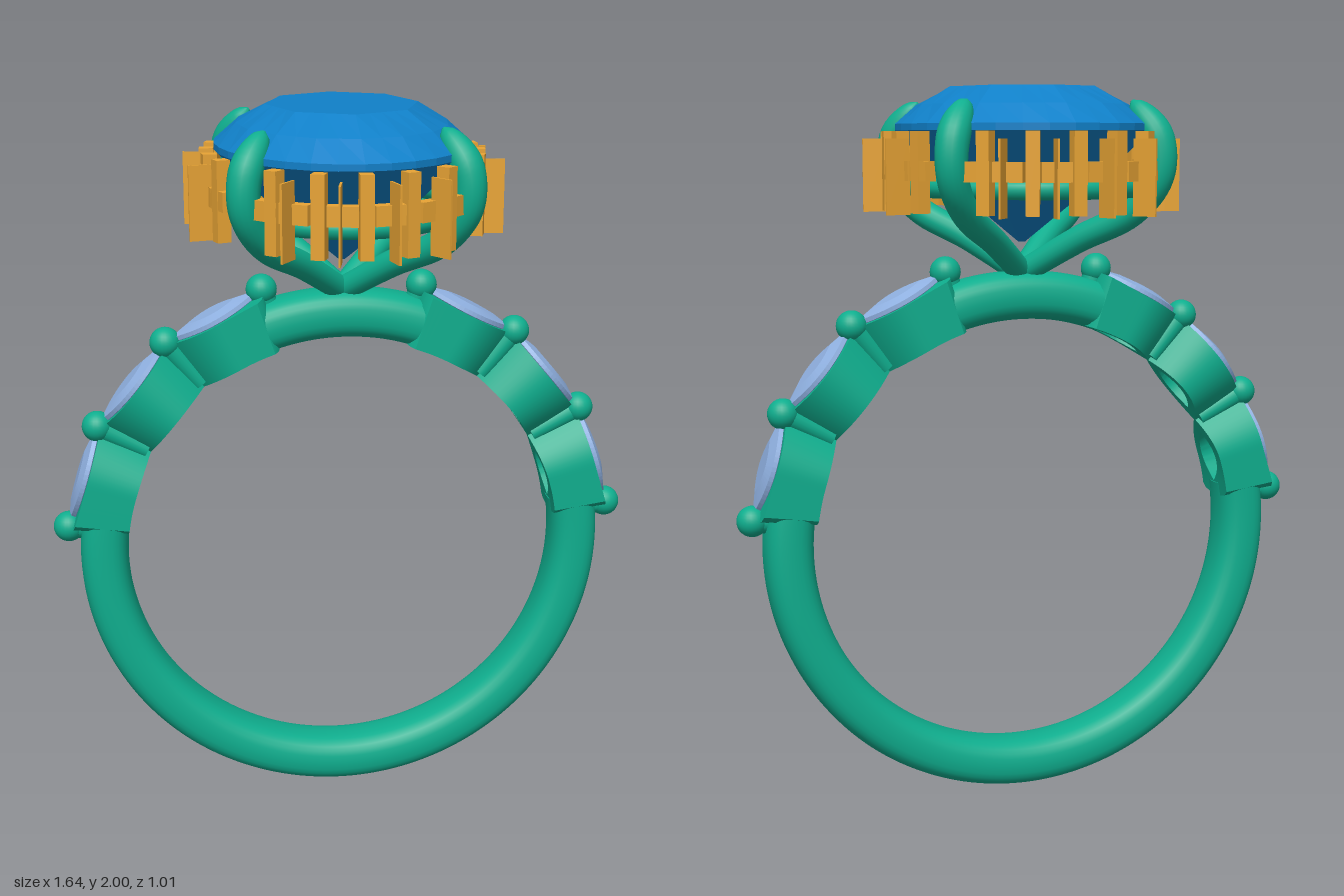
import * as THREE from 'three';
import { toCreasedNormals } from 'three/addons/utils/BufferGeometryUtils.js';

const mat = (color, flatShading = false) => new THREE.MeshStandardMaterial({ color, flatShading });
const METAL = mat(0x0fae8e), GOLD = mat(0xe8a435);
const BLUE = mat(0x1080c8, true), PALE = mat(0x8fb0e0, true);
const V = (x, y, z) => new THREE.Vector3(x, y, z);
const rad = THREE.MathUtils.degToRad;
const range = (n, f) => Array.from({ length: n }, (_, i) => f(i));

const CY = 0.748, R_IN = 0.613, R_OUT = 0.748, HALF_W = 0.08;
// point on the band: angle from the top, radius, depth
const polar = (a, r, z) => V(r * Math.sin(a), CY + r * Math.cos(a), z);

// Solid skinned over closed rings of points; capped, or joined end to end
function loft(rings, joined = false, crease = 0.6) {
  const all = [...rings];
  if (joined) all.push(rings[0]);
  else {
    const cap = (ring) => {
      const c = V(0, 0, 0);
      ring.forEach((p) => c.addScaledVector(p, 1 / ring.length));
      return ring.map(() => c);
    };
    all.unshift(cap(rings[0]));
    all.push(cap(rings[rings.length - 1]));
  }
  const tris = [];
  let volume = 0;
  const add = (a, b, c) => {
    if (a.distanceTo(b) < 1e-6 || b.distanceTo(c) < 1e-6 || a.distanceTo(c) < 1e-6) return;
    volume += a.dot(b.clone().cross(c));
    tris.push([a, b, c]);
  };
  for (let i = 0; i + 1 < all.length; i++) {
    const n = all[i].length;
    for (let j = 0; j < n; j++) {
      const k = (j + 1) % n;
      add(all[i][j], all[i][k], all[i + 1][k]);
      add(all[i][j], all[i + 1][k], all[i + 1][j]);
    }
  }
  const points = tris.flatMap(([a, b, c]) => (volume > 0 ? [a, b, c] : [a, c, b]));
  const g = new THREE.BufferGeometry().setFromPoints(points);
  g.computeVertexNormals();
  return toCreasedNormals(g, crease);
}

function mesh(name, geometry, material, parent) {
  const m = new THREE.Mesh(geometry, material);
  m.name = name;
  parent.add(m);
  return m;
}

// Arc of the band with a rounded cross-section
function bandArc(from, to, steps) {
  const mid = (R_IN + R_OUT) / 2, h = (R_OUT - R_IN) / 2;
  const soft = (v) => Math.sign(v) * Math.pow(Math.abs(v), 0.75);
  return loft(range(steps + 1, (i) => {
    const a = rad(from + ((to - from) * i) / steps);
    return range(28, (j) => {
      const t = (j / 28) * Math.PI * 2;
      return polar(a, mid + h * soft(Math.cos(t)), HALF_W * soft(Math.sin(t)));
    });
  }));
}

// Marquise outline: u along the length (-1..1), w across (-1..1)
const LENS = range(40, (j) => {
  const s = j < 20 ? 1 : -1;
  const u = s * (1 - (j % 20) / 10);
  return { u, w: s * (1 - u * u) };
});

// Open marquise cup; wideEnd keeps one end as wide as the plain band it joins
function bezel(center, wideEnd) {
  const half = rad(11.6);
  const ring = (scale, top, outer) => LENS.map(({ u, w }) => {
    const d = half * u * scale;
    const wide = outer && u * wideEnd > 0 ? Math.sign(w) * Math.max(Math.abs(w), Math.min(1, (1 - Math.abs(u)) * 8)) : w;
    const r = top ? 0.757 / Math.cos(d) : R_IN + 0.003;
    return polar(rad(center) + d, r, wide * HALF_W * (outer ? 1 : scale * 0.98));
  });
  return loft([ring(1, true, true), ring(1, false, true), ring(0.62, false, false), ring(0.85, true, false)], true);
}

function marquiseGem(center) {
  const a = rad(center);
  const ring = (scale, h) => LENS.map(({ u, w }) => {
    const along = u * 0.137 * scale, r = 0.757 + h;
    return V(r * Math.sin(a) + along * Math.cos(a), CY + r * Math.cos(a) - along * Math.sin(a), w * 0.071 * scale);
  });
  return loft([ring(0.55, 0.026), ring(0.98, 0.014), ring(1, 0.002), ring(0.85, -0.006), ring(0.1, -0.07)]);
}

// Three stones with shared prong beads, for one shoulder
function shoulder(name) {
  const g = new THREE.Group();
  g.name = name;
  [27.7, 50.1, 72.5].forEach((a, i) => {
    mesh('stoneCup', bezel(a, [-1, 0, 1][i]), METAL, g);
    mesh('marquiseStone', marquiseGem(a), PALE, g);
  });
  [16.6, 38.9, 61.3, 83.8].forEach((a) => {
    const bead = mesh('prongBead', new THREE.SphereGeometry(0.043, 24, 16), METAL, g);
    bead.position.copy(polar(rad(a), 0.782, 0));
    const stem = mesh('prongStem', new THREE.CylinderGeometry(0.034, 0.026, 0.15, 20), METAL, g);
    stem.position.copy(polar(rad(a), 0.703, 0));
    stem.rotation.z = -rad(a);
  });
  return g;
}

// Faceted oval centre stone
function ovalGem() {
  const ring = (scale, y, sides) => range(32, (j) => {
    const t = (j / 32) * Math.PI * 2, step = (Math.PI * 2) / sides;
    const k = scale * Math.cos(step / 2) / Math.cos((t % step) - step / 2);
    return V(0.345 * k * Math.sin(t), y, 0.42 * k * Math.cos(t));
  });
  return loft([ring(0.6, 2, 8), ring(0.83, 1.952, 16), ring(1, 1.9, 32), ring(1, 1.882, 32),
    ring(0.62, 1.75, 16), ring(0.03, 1.577, 8)]);
}

// Tapered claw curving out diagonally from the base and over the stone edge
function claw(sx, sz) {
  const path = new THREE.CatmullRomCurve3([[0, 1.49], [0.12, 1.585], [0.235, 1.665], [0.288, 1.76],
    [0.286, 1.86], [0.232, 1.96]].map(([d, y]) => V(d * sx, y, d * sz)));
  const side = V(-sz, 0, sx).normalize();
  return loft(range(41, (i) => {
    const t = i / 40, p = path.getPoint(t);
    const n = path.getTangent(t).cross(side).normalize();
    const r = t < 0.8 ? 0.034 + 0.014 * t : 0.0452 * Math.sqrt(Math.max(0.01, 1 - ((t - 0.8) / 0.2) ** 2));
    return range(18, (j) => {
      const a = (j / 18) * Math.PI * 2;
      return p.clone().addScaledVector(side, r * Math.cos(a)).addScaledVector(n, r * Math.sin(a));
    });
  }));
}

// Oval support ring under the stone
function galleryRing() {
  return loft(range(64, (i) => {
    const t = (i / 64) * Math.PI * 2;
    return range(14, (j) => {
      const a = (j / 14) * Math.PI * 2, c = 0.027 * Math.cos(a);
      return V((0.31 + c) * Math.sin(t), 1.73 + 0.027 * Math.sin(a), (0.375 + c) * Math.cos(t));
    });
  }), true);
}

// Halo: tall posts, short linking bars and thin radial fins on an oval
function halo() {
  const g = new THREE.Group();
  g.name = 'halo';
  const A = 0.365, B = 0.44;
  const piece = (name, t, w, y0, y1, depth, out) => {
    const nx = Math.sin(t) / A, nz = Math.cos(t) / B, l = Math.hypot(nx, nz);
    const m = mesh(name, new THREE.BoxGeometry(w, y1 - y0, depth), GOLD, g);
    m.position.set(A * Math.sin(t) + (nx / l) * out, (y0 + y1) / 2, B * Math.cos(t) + (nz / l) * out);
    m.rotation.y = Math.atan2(nx, nz);
  };
  const arc = (turn, size, posts, links, fins) => {
    const at = (p) => turn + Math.asin(p / size);
    posts.forEach((p) => piece('haloPost', at(p), 0.036, 1.665, 1.88, 0.038, 0));
    links.forEach((p) => piece('haloLink', at(p), 0.08, 1.75, 1.802, 0.034, 0));
    fins.forEach((p) => piece('haloFin', at(p), 0.006, 1.66, 1.86, 0.07, 0.035));
  };
  for (const flip of [0, Math.PI]) {
    arc(flip, A, [-0.22, -0.115, 0, 0.115, 0.22], [-0.235, -0.17, -0.058, 0.058, 0.17, 0.235], [-0.175, -0.062, 0.062, 0.175]);
    arc(flip + Math.PI / 2, B, [-0.163, -0.056, 0.056, 0.163], [-0.17, -0.11, 0, 0.11, 0.17], [-0.11, 0.11]);
  }
  return g;
}

export function createModel() {
  const ring = new THREE.Group();
  ring.name = 'ring';
  mesh('band', bandArc(80, 280, 120), METAL, ring);
  mesh('bridge', bandArc(-20, 20, 30), METAL, ring);
  const left = shoulder('leftShoulder'), right = shoulder('rightShoulder');
  right.rotation.y = Math.PI;
  ring.add(left, right);

  const head = new THREE.Group();
  head.name = 'head';
  ring.add(head);
  mesh('centreStone', ovalGem(), BLUE, head);
  mesh('galleryRing', galleryRing(), METAL, head);
  for (const sx of [-1, 1]) for (const sz of [-1, 1]) mesh('claw', claw(sx, sz), METAL, head);
  head.add(halo());
  return ring;
}
